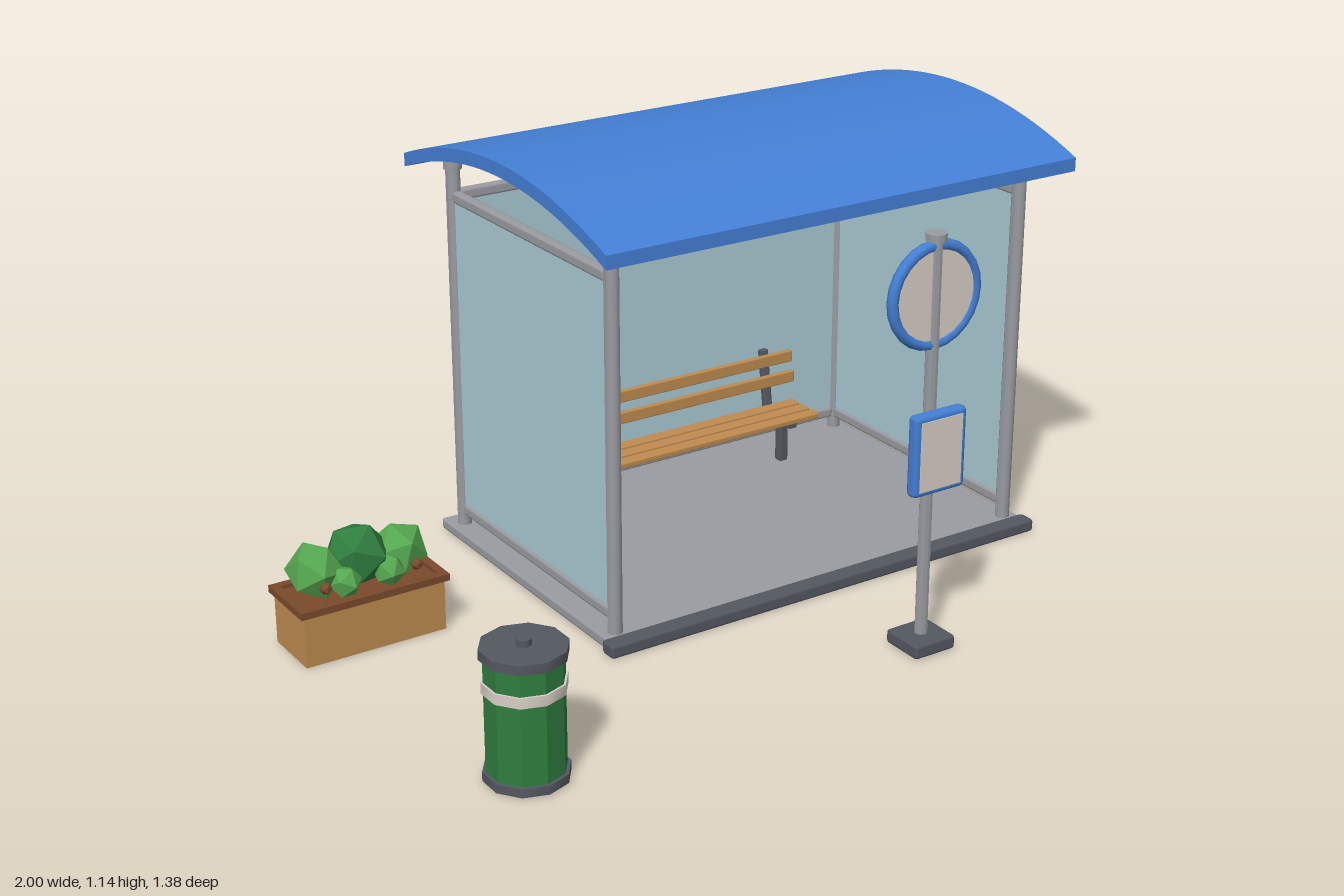
import * as THREE from 'three';
import { toCreasedNormals } from 'three/addons/utils/BufferGeometryUtils.js';
import { RoundedBoxGeometry } from 'three/addons/geometries/RoundedBoxGeometry.js';

const mat = (name, color, flatShading = false) => {
  const m = new THREE.MeshStandardMaterial({ color, flatShading });
  m.name = name;
  return m;
};

export function createModel() {
  const blue = mat('blue paint', 0x4480d6);
  const glass = mat('pale glass', 0xabccd6);
  const metal = mat('grey metal', 0x9a9ca2);
  const dark = mat('dark metal', 0x545860);
  const wood = mat('light wood', 0xbf8c50);
  const brown = mat('brown wood', 0x7a4a2c);
  const green = mat('dark green', 0x2f7d3f, true);
  const leaf = mat('leaf green', 0x55a750, true);
  const cream = mat('cream panel', 0xd8d0c6);

  const root = new THREE.Group();
  root.name = 'busShelter';
  const group = (name, x = 0, y = 0, z = 0) => {
    const g = new THREE.Group();
    g.name = name;
    g.position.set(x, y, z);
    root.add(g);
    return g;
  };
  const add = (parent, name, geo, material, x, y, z) => {
    const m = new THREE.Mesh(geo, material);
    m.name = name;
    m.position.set(x, y, z);
    parent.add(m);
    return m;
  };
  const box = (p, name, material, w, h, d, x, y, z) =>
    add(p, name, new THREE.BoxGeometry(w, h, d), material, x, y, z);
  const bevelBox = (p, name, material, w, h, d, x, y, z, r = 0.008) =>
    add(p, name, new RoundedBoxGeometry(w, h, d, 1, r), material, x, y, z);
  const cyl = (p, name, material, r, y0, y1, x = 0, z = 0, sides = 10) =>
    add(p, name, toCreasedNormals(new THREE.CylinderGeometry(r, r, y1 - y0, sides), 0.7),
      material, x, (y0 + y1) / 2, z);

  // Shelter: floor, kerb, posts, rails and glass
  const shelter = group('shelter');
  const [xl, xr, zf, zb] = [-0.31, 0.912, 0.17, -0.585];
  const xc = (xl + xr) / 2, zc = (zf + zb) / 2;
  bevelBox(shelter, 'floor', metal, 1.3, 0.03, 0.865, xc, 0.022, -0.2125);
  bevelBox(shelter, 'frontKerb', dark, 1.325, 0.035, 0.05, xc, 0.022, 0.215);
  for (const x of [xl, xr]) {
    for (const z of [zf, zb]) {
      cyl(shelter, 'post', metal, 0.019, 0.03, 1.03, x, z);
      cyl(shelter, 'postCap', metal, 0.024, 1.018, 1.048, x, z);
    }
    for (const y of [0.085, 0.948])
      bevelBox(shelter, 'sideRail', metal, 0.028, 0.03, zf - zb - 0.03, x, y, zc);
    box(shelter, 'sideGlass', glass, 0.012, 0.85, zf - zb - 0.03, x, 0.515, zc);
  }
  for (const y of [0.085, 0.948])
    bevelBox(shelter, 'backRail', metal, xr - xl - 0.03, 0.03, 0.028, xc, y, zb);
  box(shelter, 'backGlass', glass, xr - xl - 0.03, 0.85, 0.012, xc, 0.515, zb);

  // Arched roof, an arc profile drawn across the depth
  const arc = [];
  for (let i = 0; i <= 24; i++) {
    const t = i / 12 - 1;
    arc.push([t * 0.485, 1.105 - 0.095 * t * t]);
  }
  const profile = new THREE.Shape([
    ...arc.map(([u, y]) => new THREE.Vector2(u, y)),
    ...arc.slice().reverse().map(([u, y]) => new THREE.Vector2(u, y + 0.035)),
  ]);
  const roof = new THREE.ExtrudeGeometry(profile, { depth: 1.39, bevelEnabled: false });
  roof.rotateY(Math.PI / 2);
  add(shelter, 'roof', toCreasedNormals(roof, 0.5), blue, -0.39, 0, -0.207);
  bevelBox(shelter, 'ceilingLamp', dark, 0.9, 0.035, 0.105, xc, 1.09, -0.207, 0.01);

  // Framed poster on the wall
  bevelBox(shelter, 'posterFrame', blue, 0.035, 0.46, 0.36, -0.284, 0.53, -0.225, 0.012);
  box(shelter, 'posterFace', cream, 0.006, 0.405, 0.305, -0.266, 0.53, -0.225);

  // Bench with leaning back supports
  const bench = group('bench', 0.302);
  for (const z of [-0.42, -0.467, -0.514])
    bevelBox(bench, 'seatSlat', wood, 0.84, 0.016, 0.038, 0, 0.173, z, 0.004);
  for (const [y, z] of [[0.252, -0.53], [0.31, -0.54]])
    bevelBox(bench, 'backSlat', wood, 0.84, 0.034, 0.016, 0, y, z, 0.004);
  for (const x of [-0.337, 0.337]) {
    bevelBox(bench, 'leg', dark, 0.028, 0.13, 0.028, x, 0.1, -0.465, 0.006);
    box(bench, 'seatBracket', dark, 0.024, 0.016, 0.13, x, 0.158, -0.475);
    const support = bevelBox(bench, 'backSupport', dark, 0.026, 0.19, 0.02, x, 0.245, -0.547, 0.006);
    support.rotation.x = -0.15;
  }

  // Stop sign pole with round sign and timetable
  const stop = group('stopSign', 0.3, 0, 0.589);
  bevelBox(stop, 'base', dark, 0.12, 0.036, 0.118, 0, 0.026, 0);
  cyl(stop, 'pole', metal, 0.016, 0.03, 1.05);
  cyl(stop, 'poleCap', metal, 0.026, 1.042, 1.06);
  add(stop, 'signRing', new THREE.TorusGeometry(0.121, 0.014, 8, 24), blue, 0, 0.91, 0);
  const disc = cyl(stop, 'signDisc', cream, 0.118, -0.008, 0.008, 0, 0, 24);
  disc.position.y = 0.91;
  disc.rotation.x = Math.PI / 2;
  bevelBox(stop, 'timetableFrame', blue, 0.153, 0.206, 0.034, 0, 0.532, 0.031, 0.012);
  box(stop, 'timetableFace', cream, 0.122, 0.176, 0.006, 0, 0.532, 0.047);

  // Litter bin
  const bin = group('litterBin', -0.8, 0, 0.589);
  cyl(bin, 'binBase', dark, 0.1, 0.008, 0.03);
  add(bin, 'binBody', new THREE.CylinderGeometry(0.092, 0.092, 0.29, 10), green, 0, 0.165, 0);
  cyl(bin, 'binBand', cream, 0.097, 0.224, 0.25);
  cyl(bin, 'binLid', dark, 0.101, 0.306, 0.33);
  cyl(bin, 'lidKnob', dark, 0.018, 0.33, 0.346);

  // Planter with rim and shrubs
  const planter = group('planter', -0.803, 0, -0.21);
  box(planter, 'planterBox', wood, 0.376, 0.135, 0.166, 0, 0.0725, 0);
  box(planter, 'soil', brown, 0.35, 0.01, 0.15, 0, 0.142, 0);
  for (const s of [-1, 1]) {
    box(planter, 'longRim', brown, 0.396, 0.018, 0.022, 0, 0.147, s * 0.082);
    box(planter, 'shortRim', brown, 0.022, 0.018, 0.142, s * 0.187, 0.147, 0);
  }
  const shrubs = [
    [-0.112, 0.207, -0.008, 0.074, leaf], [0.112, 0.207, -0.008, 0.074, leaf],
    [0, 0.222, -0.008, 0.084, green],
    [-0.058, 0.185, 0.045, 0.042, leaf], [0.058, 0.185, 0.045, 0.042, leaf],
  ];
  shrubs.forEach(([x, y, z, r, m], i) => {
    const shrub = add(planter, 'shrub', new THREE.IcosahedronGeometry(r, 0), m, x, y, z);
    shrub.rotation.set(0.4 + i, i * 1.3, 0.2);
  });
  for (const x of [-0.115, 0.128])
    add(planter, 'bud', new THREE.IcosahedronGeometry(0.016, 0), brown, x, 0.187, 0.058);

  return root;
}
